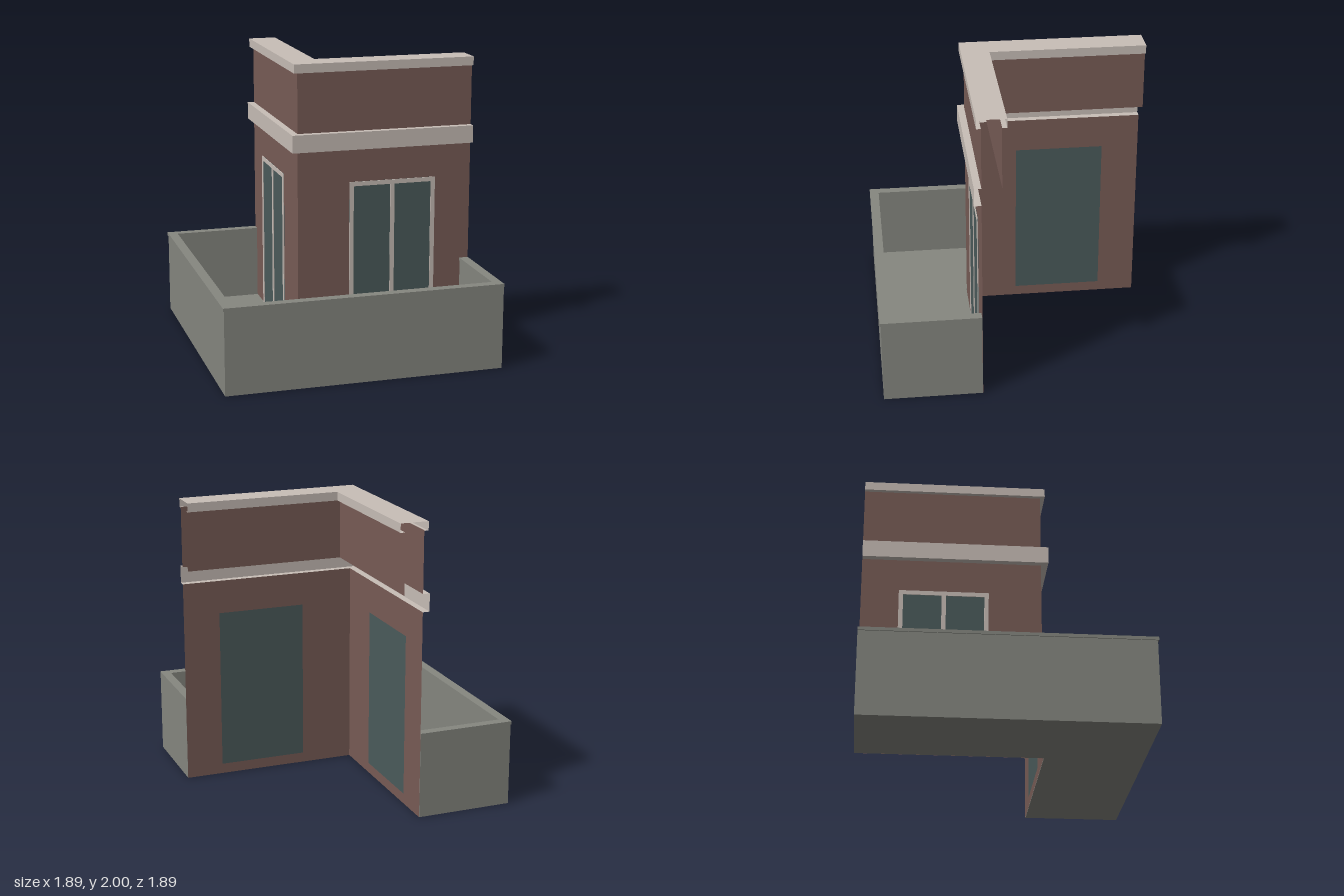
import * as THREE from 'three';

const END = 0.945;   // cut ends of the building corner
const WALL = 0.28;   // distance of the outer wall planes from the axes

const mat = (name, color, side = THREE.FrontSide) => {
  const m = new THREE.MeshStandardMaterial({ color, side });
  m.name = name;
  return m;
};

// Sweeps a profile of [distance, height] points around the two-sided corner.
function cornerSweep(profile) {
  const path = (d) => [[END, d], [-d, d], [-d, -END]];
  const pos = [];
  for (let j = 0; j < profile.length - 1; j++) {
    const [d0, y0] = profile[j], [d1, y1] = profile[j + 1];
    const low = path(d0).map(([x, z]) => [x, y0, z]);
    const high = path(d1).map(([x, z]) => [x, y1, z]);
    for (let i = 0; i < 2; i++) {
      pos.push(...low[i + 1], ...low[i], ...high[i], ...low[i + 1], ...high[i], ...high[i + 1]);
    }
  }
  const g = new THREE.BufferGeometry();
  g.setAttribute('position', new THREE.Float32BufferAttribute(pos, 3));
  g.computeVertexNormals();
  return g;
}

// Extrudes a plan outline of [x, z] points upward from y0 to y1.
function planPrism(points, y0, y1) {
  const shape = new THREE.Shape(points.map(([x, z]) => new THREE.Vector2(x, -z)));
  const g = new THREE.ExtrudeGeometry(shape, { depth: y1 - y0, bevelEnabled: false });
  g.rotateX(-Math.PI / 2);
  g.translate(0, y0, 0);
  return g;
}

const rect = (Type, x0, y0, x1, y1) =>
  new Type([[x0, y0], [x1, y0], [x1, y1], [x0, y1]].map(([x, y]) => new THREE.Vector2(x, y)));

export function createModel() {
  const model = new THREE.Group();
  model.name = 'buildingCorner';

  const brick = mat('brick', 0x785c56, THREE.DoubleSide);
  const stone = mat('paleStone', 0xc8beb7, THREE.DoubleSide);
  const concrete = mat('concrete', 0x868780);
  const glass = mat('glass', 0x4b5b5b, THREE.DoubleSide);

  const add = (parent, name, geometry, material) => {
    const mesh = new THREE.Mesh(geometry, material);
    mesh.name = name;
    parent.add(mesh);
    return mesh;
  };

  // Terrace: floor slab inside an L-shaped parapet with a thin coping
  const inner = WALL + 0.002;
  const parapet = (out, inn, end) => [
    [-inner, -end], [-out, -end], [-out, out], [end, out], [end, inner],
    [inn, inner], [inn, inn], [-inn, inn], [-inn, -inn], [-inner, -inn],
  ];
  add(model, 'terraceParapet', planPrism(parapet(0.94, 0.885, END), 0, 0.565), concrete);
  add(model, 'terraceCoping', planPrism(parapet(0.947, 0.882, END), 0.565, 0.587), concrete);
  add(model, 'terraceFloor', planPrism([
    [-inner, -0.885], [-0.885, -0.885], [-0.885, 0.885],
    [0.885, 0.885], [0.885, inner], [-inner, inner],
  ], 0, 0.07), concrete);

  // Lower walls, each with a glazed opening and a frame on the outside
  for (const s of [1, -1]) {
    const side = new THREE.Group();
    side.name = s > 0 ? 'frontWall' : 'sideWall';
    if (s < 0) side.rotation.y = -Math.PI / 2;
    model.add(side);

    const span = (a, b) => (s > 0 ? [a, b] : [-b, -a]);
    const [x0, x1] = span(-WALL, END);
    const [w0, w1] = span(0.08, 0.69);
    const wy0 = 0.07, wy1 = 1.18, t = 0.03;

    const wall = rect(THREE.Shape, x0, 0, x1, 1.41);
    wall.holes.push(rect(THREE.Path, w0, wy0, w1, wy1));
    add(side, 'lowerWall', new THREE.ShapeGeometry(wall), brick).position.z = WALL;

    const pane = rect(THREE.Shape, w0, wy0, w1, wy1);
    add(side, 'windowGlass', new THREE.ShapeGeometry(pane), glass).position.z = WALL;

    const frame = rect(THREE.Shape, w0, wy0, w1, wy1);
    const mid = (w0 + w1) / 2;
    frame.holes.push(
      rect(THREE.Path, w0 + t, wy0 + 0.005, mid - t / 2, wy1 - t),
      rect(THREE.Path, mid + t / 2, wy0 + 0.005, w1 - t, wy1 - t),
    );
    const frameGeo = new THREE.ExtrudeGeometry(frame, { depth: 0.005, bevelEnabled: false });
    add(side, 'windowFrame', frameGeo, stone).position.z = WALL + 0.002;
  }

  // Upper wall skins, the string course and the hollow roof coping
  add(model, 'upperOuterWall', cornerSweep([[WALL, 1.53], [WALL, 1.945]]), brick);
  add(model, 'upperInnerWall', cornerSweep([[0.15, 1.945], [0.15, 1.53]]), brick);
  add(model, 'stringCourse', cornerSweep([
    [WALL, 1.41], [0.327, 1.41], [0.327, 1.53], [WALL, 1.53],
  ]), stone);
  add(model, 'roofCoping', cornerSweep([
    [WALL, 1.94], [0.31, 1.94], [0.31, 2], [0.118, 2], [0.118, 1.94], [0.15, 1.94],
  ]), stone);

  return model;
}
